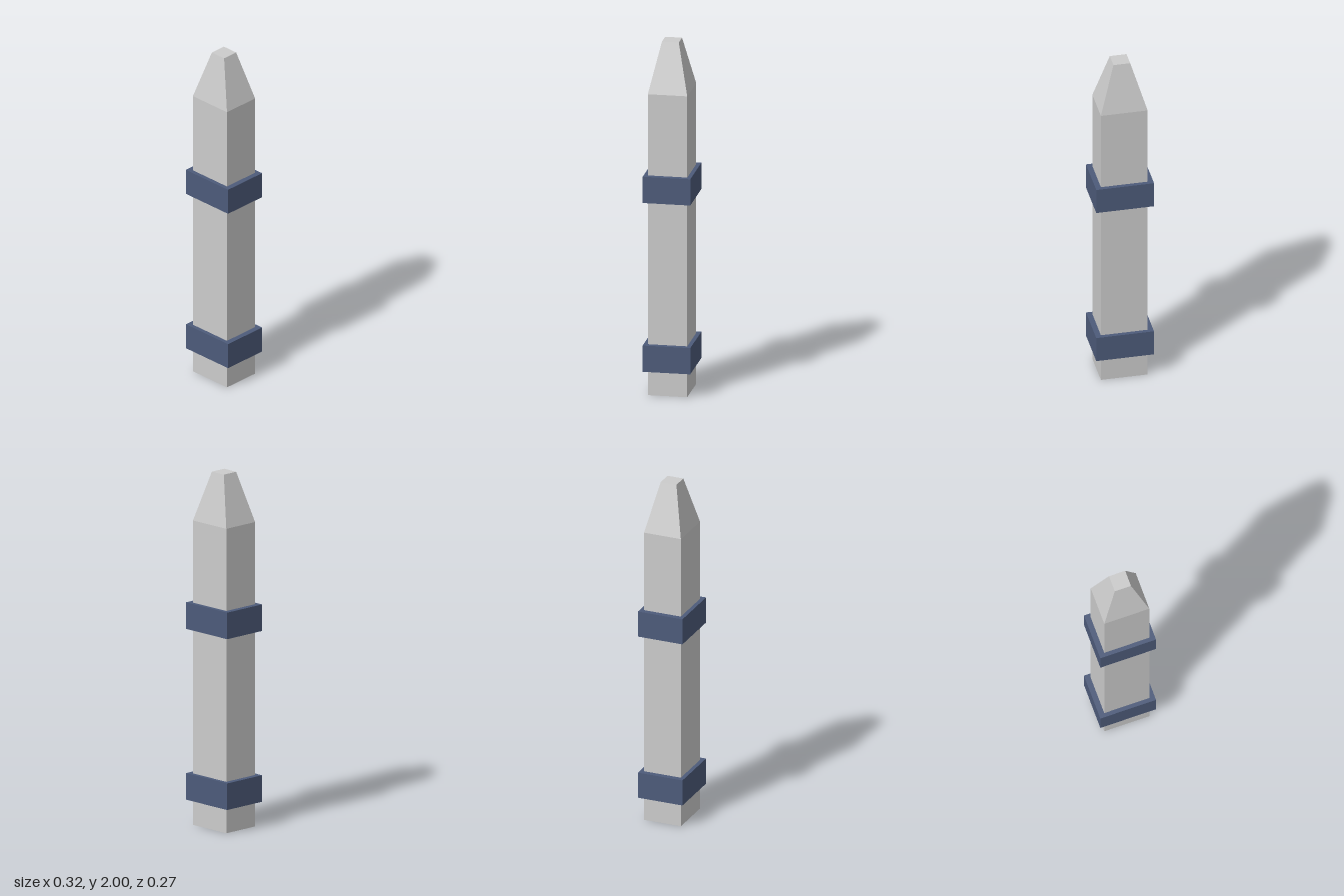
import * as THREE from 'three';

const HALF_X = 0.131, HALF_Z = 0.11; // post half sizes
const SHOULDER = 1.72, TOP = 2, TIP = 0.047;

function addBox(group, name, size, y, material) {
  const mesh = new THREE.Mesh(new THREE.BoxGeometry(...size), material);
  mesh.name = name;
  mesh.position.y = y;
  group.add(mesh);
  return mesh;
}

export function createModel() {
  const group = new THREE.Group();
  group.name = 'picketPost';
  const grey = new THREE.MeshStandardMaterial({ color: 0xcccccc, flatShading: true });
  const blue = new THREE.MeshStandardMaterial({ color: 0x4d5b7a, flatShading: true });

  // Post: one box with a ring at the shoulder and the top ring drawn in to a blunt tip
  const geometry = new THREE.BoxGeometry(2 * HALF_X, 2, 2 * HALF_Z, 1, 2, 1);
  const p = geometry.attributes.position;
  for (let i = 0; i < p.count; i++) {
    const level = Math.round(p.getY(i)); // -1 foot, 0 shoulder, 1 top
    p.setY(i, [0, SHOULDER, TOP][level + 1]);
    if (level === 1) {
      p.setX(i, Math.sign(p.getX(i)) * TIP);
      p.setZ(i, Math.sign(p.getZ(i)) * TIP);
    }
  }
  geometry.computeVertexNormals();
  const post = new THREE.Mesh(geometry, grey);
  post.name = 'post';
  group.add(post);

  // Bands around the post
  addBox(group, 'lowerBand', [0.324, 0.15, 0.266], 0.216, blue);
  addBox(group, 'upperBand', [0.324, 0.15, 0.266], 1.181, blue);

  return group;
}
